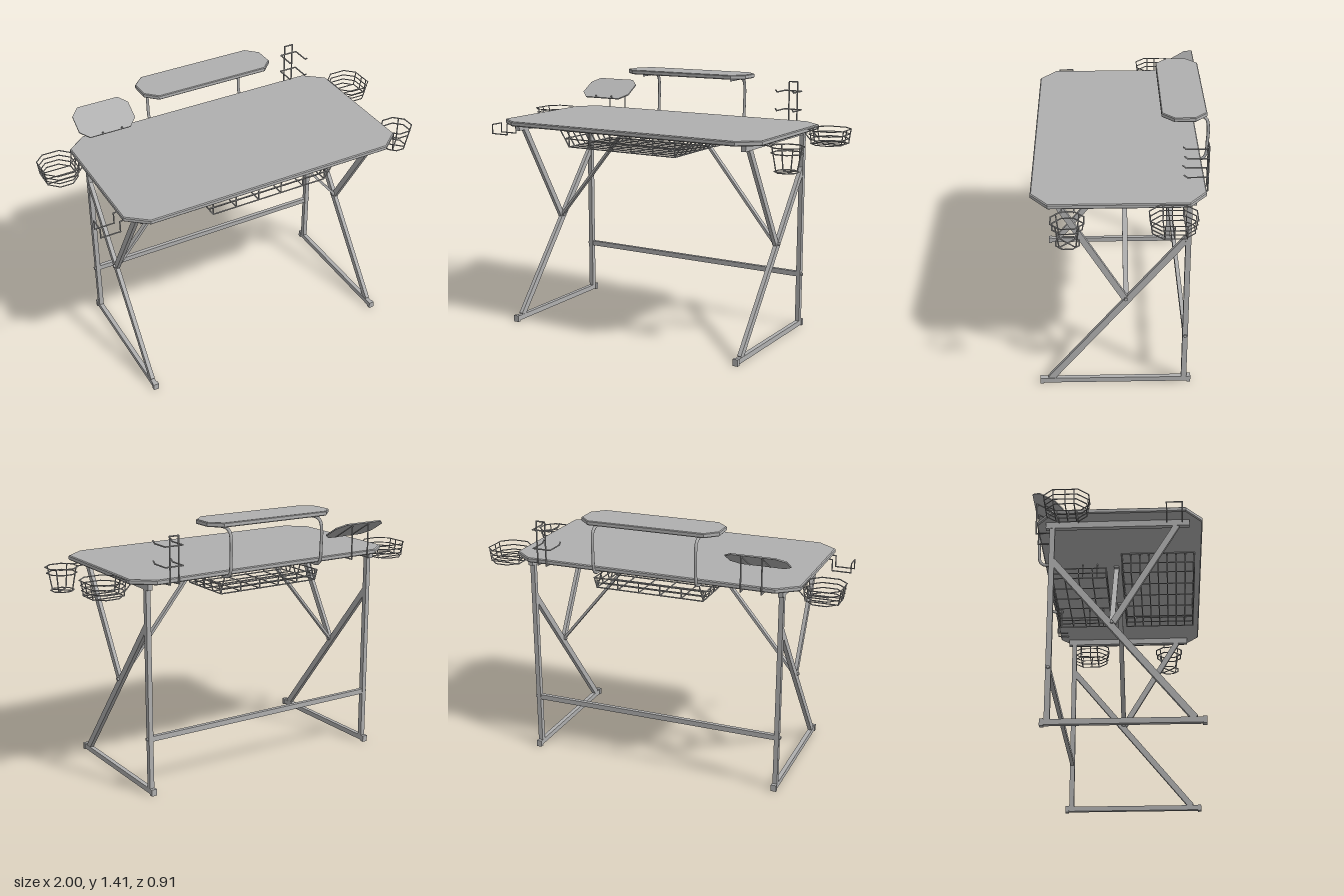
import * as THREE from 'three';
import { mergeGeometries } from 'three/addons/utils/BufferGeometryUtils.js';

const V = (x, y, z) => new THREE.Vector3(x, y, z);
const X = V(1, 0, 0), Z = V(0, 0, 1);

export function createModel() {
  const root = new THREE.Group();
  const grey = new THREE.MeshStandardMaterial({ color: 0xb0b0b0 });
  grey.name = 'grey';

  const add = (name, geometry) => {
    const mesh = new THREE.Mesh(geometry, grey);
    mesh.name = name;
    root.add(mesh);
    return mesh;
  };

  // Rectangular bar from a to b: width w, thickness t along the "up" axis
  const beam = (name, a, b, w, t, up = X) => {
    const m = add(name, new THREE.BoxGeometry(w, t, a.distanceTo(b)));
    m.quaternion.setFromRotationMatrix(new THREE.Matrix4().lookAt(a, b, up));
    m.position.copy(a).lerp(b, 0.5);
    return m;
  };

  // Straight wires, each path a list of [x, y, z], merged into one part
  const wires = (name, paths, r = 0.0035) => {
    const parts = [];
    for (const path of paths) {
      for (let i = 1; i < path.length; i++) {
        const a = V(...path[i - 1]), b = V(...path[i]);
        const d = b.clone().sub(a);
        const g = new THREE.CylinderGeometry(r, r, d.length() + r, 6);
        g.applyQuaternion(new THREE.Quaternion().setFromUnitVectors(V(0, 1, 0), d.normalize()));
        g.translate((a.x + b.x) / 2, (a.y + b.y) / 2, (a.z + b.z) / 2);
        parts.push(g);
      }
    }
    return add(name, mergeGeometries(parts));
  };

  // Flat board with cut corners, its underside on y = 0
  const board = (name, w, d, cx, cz, h, bevel) => {
    const x = w / 2 - bevel, y = d / 2 - bevel;
    const s = new THREE.Shape([
      [-x + cx, -y], [x - cx, -y], [x, -y + cz], [x, y - cz],
      [x - cx, y], [-x + cx, y], [-x, y - cz], [-x, -y + cz],
    ].map(p => new THREE.Vector2(...p)));
    const g = new THREE.ExtrudeGeometry(s, {
      depth: h - 2 * bevel, bevelEnabled: bevel > 0,
      bevelSize: bevel, bevelThickness: bevel, bevelSegments: 1,
    });
    g.translate(0, 0, bevel);
    g.rotateX(-Math.PI / 2);
    return add(name, g);
  };

  // Closed eight-sided ring
  const octagon = (cx, y, cz, rx, rz, cut) => {
    const p = [[-rx + cut, -rz], [rx - cut, -rz], [rx, -rz + cut], [rx, rz - cut],
      [rx - cut, rz], [-rx + cut, rz], [-rx, rz - cut], [-rx, -rz + cut]];
    return [...p, p[0]].map(([x, z]) => [cx + x, y, cz + z]);
  };

  // Desktop and raised shelf
  board('desktop', 1.6, 0.865, 0.105, 0.085, 0.026, 0.005).position.set(0, 1.13, 0.0225);
  board('raisedShelf', 0.765, 0.232, 0.06, 0.06, 0.024, 0.004).position.set(-0.002, 1.382, -0.32);

  for (const s of [-1, 1]) {
    const x = s * 0.705;
    // Side frame
    beam('topRail', V(x, 1.113, 0.385), V(x, 1.113, -0.36), 0.034, 0.026);
    beam('baseRail', V(x, 0.019, 0.43), V(x, 0.019, -0.35), 0.028, 0.024);
    beam('backLeg', V(x, 0.03, -0.326), V(x, 1.1, -0.326), 0.028, 0.025);
    beam('diagonalLeg', V(x, 0.03, 0.385), V(x, 0.905, -0.322), 0.034, 0.022);
    beam('frontStrut', V(x, 1.1, 0.32), V(x, 0.545, -0.01), 0.032, 0.02);
    beam('deskBrace', V(s * 0.7, 0.545, -0.015), V(s * 0.22, 1.126, -0.015), 0.014, 0.027, Z);
    beam('braceTab', V(s * 0.25, 1.124, -0.015), V(s * 0.19, 1.124, -0.015), 0.01, 0.03, Z);
    for (const z of [0.432, -0.352]) {
      const cap = add('footCap', new THREE.BoxGeometry(0.03, 0.036, 0.02));
      cap.position.set(x, 0.018, z);
    }
    for (const [y, z] of [[0.545, -0.015], [0.305, -0.326]]) {
      const bolt = add('bolt', new THREE.CylinderGeometry(0.009, 0.009, 0.042, 8));
      bolt.rotation.z = Math.PI / 2;
      bolt.position.set(x, y, z);
    }

    // Bent tube that carries the raised shelf
    const path = new THREE.CatmullRomCurve3([
      V(s * 0.285, 1.374, -0.25), V(s * 0.285, 1.374, -0.33), V(s * 0.285, 1.372, -0.405),
      V(s * 0.285, 1.355, -0.436), V(s * 0.285, 1.31, -0.447), V(s * 0.285, 1.22, -0.445),
      V(s * 0.285, 1.148, -0.439), V(s * 0.285, 1.126, -0.42), V(s * 0.285, 1.122, -0.36),
    ]);
    add('shelfSupport', new THREE.TubeGeometry(path, 32, 0.0085, 8));

    // Side basket: stacked rings, ribs over the floor, mounting arms
    const bx = s * 0.9, bz = -0.235, paths = [];
    [1.148, 1.122, 1.097, 1.072].forEach((y, i) =>
      paths.push(octagon(bx, y, bz, 0.0965 - i * 0.004, 0.114 - i * 0.004, 0.05)));
    for (const z of [-0.295, -0.235, -0.19]) {
      paths.push([[bx - 0.096, 1.148, z], [bx - 0.085, 1.072, z], [bx + 0.085, 1.072, z], [bx + 0.096, 1.148, z]]);
    }
    for (const z of [-0.29, -0.19]) paths.push([[s * 0.815, 1.085, z], [s * 0.775, 1.126, z], [s * 0.72, 1.126, z]]);
    wires('sideBasket', paths, 0.003);
  }
  beam('crossbar', V(-0.7, 0.305, -0.326), V(0.7, 0.305, -0.326), 0.028, 0.022, Z);

  // Wire trays under the desktop: sloped ends, long floor wires, cross hoops
  const tray = (name, halfTop, halfBottom, top, bottom, z0, z1, lengthwise, hoops) => {
    const paths = [];
    for (let i = 0; i <= lengthwise; i++) {
      const z = z0 + (z1 - z0) * i / lengthwise;
      paths.push([[-halfTop, top, z], [-halfBottom, bottom, z], [halfBottom, bottom, z], [halfTop, top, z]]);
    }
    for (let i = 0; i <= hoops; i++) {
      const x = halfBottom * (2 * i / hoops - 1);
      paths.push([[x, top, z0], [x, bottom, z0], [x, bottom, z1], [x, top, z1]]);
    }
    const mid = (top + bottom) / 2, hm = (halfTop + halfBottom) / 2;
    for (const [y, h] of [[top, halfTop], [mid, hm]]) {
      paths.push([[-h, y, z0], [h, y, z0], [h, y, z1], [-h, y, z1], [-h, y, z0]]);
    }
    wires(name, paths);
  };
  tray('frontTray', 0.385, 0.33, 1.126, 1.04, 0.415, 0.02, 8, 5);
  tray('rearTray', 0.315, 0.3, 1.08, 1.028, -0.068, -0.375, 4, 5);
  wires('rearTrayHangers', [-0.3, 0.3].flatMap(x =>
    [-0.12, -0.2, -0.37].map(z => [[x, 1.028, z], [x * 0.9, 1.128, z]])));

  // Cup holder
  const cx = 0.888, cz = 0.27, cup = [];
  for (const [y, r] of [[1.122, 0.08], [1.09, 0.073], [0.996, 0.056]]) {
    cup.push(octagon(cx, y, cz, r, r, r * 0.586));
  }
  for (let i = 0; i < 2; i++) {
    const a = Math.PI / 4 + i * Math.PI / 2, c = Math.cos(a), d = Math.sin(a);
    cup.push([[1, 1.122, 0.08], [1, 0.996, 0.056], [-1, 0.996, 0.056], [-1, 1.122, 0.08]]
      .map(([k, y, r]) => [cx + k * c * r, y, cz + k * d * r]));
  }
  for (const z of [0.24, 0.3]) cup.push([[0.815, 1.122, z], [0.75, 1.126, z]]);
  wires('cupHolder', cup);

  // Side hook, one bent wire loop
  const hookSide = z => [[-0.76, 1.126, z], [-0.81, 1.122, z], [-0.81, 1.06, z], [-0.915, 1.06, z], [-0.915, 1.112, z]];
  wires('sideHook', [[...hookSide(0.268), ...hookSide(0.347).reverse()]]);

  // Headset stand: upright loop with two pronged hooks
  const prongs = (y, z) => [[0.55, y + 0.012, z], [0.55, y, z - 0.015], [0.55, y, -0.418],
    [0.65, y, -0.418], [0.65, y, z - 0.015], [0.65, y + 0.012, z]];
  wires('headsetStand', [
    [[0.575, 1.122, -0.36], [0.575, 1.126, -0.42], [0.575, 1.368, -0.42],
      [0.625, 1.368, -0.42], [0.625, 1.126, -0.42], [0.625, 1.122, -0.36]],
    prongs(1.318, -0.3), prongs(1.215, -0.3),
  ], 0.004);

  // Tilted tablet rest on two posts
  const rest = board('tabletRest', 0.322, 0.19, 0.045, 0.045, 0.007, 0);
  rest.rotation.x = 0.536;
  rest.position.set(-0.582, 1.268, -0.357);
  wires('tabletPosts', [-0.625, -0.515].map(x =>
    [[x, 1.122, -0.34], [x, 1.122, -0.422], [x, 1.308, -0.422], [x, 1.222, -0.28], [x, 1.237, -0.272]]), 0.004);

  return root;
}
